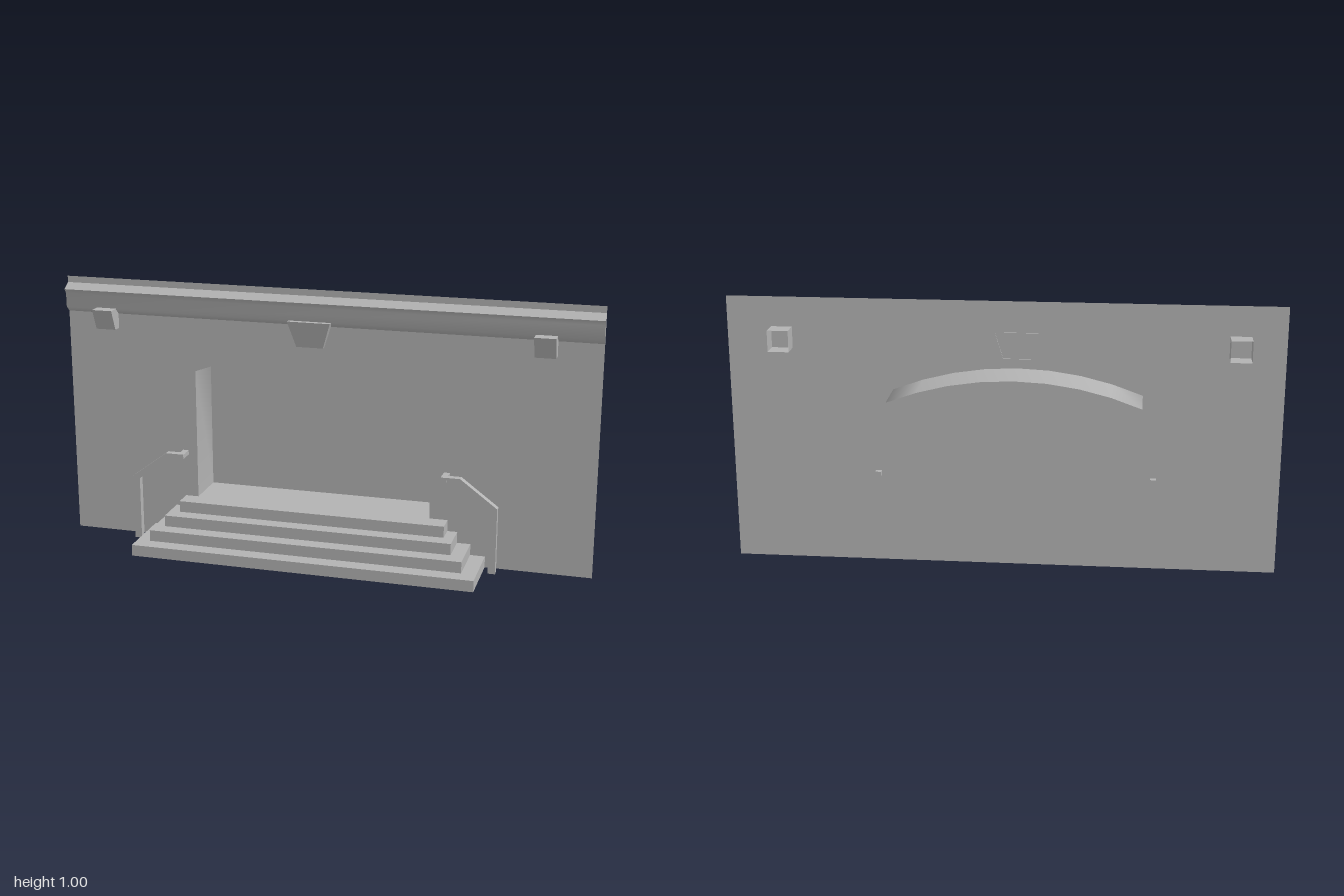
import * as THREE from 'three';

const WALL_Z = -0.035, BACK_Z = -0.205, CENTRE = -0.05;

export function createModel() {
  const group = new THREE.Group();
  const stone = new THREE.MeshStandardMaterial({ color: 0xb3b3b3, side: THREE.DoubleSide });
  stone.name = 'grey stone';

  const add = (name, geometry, x = 0, y = 0, z = 0) => {
    const mesh = new THREE.Mesh(geometry, stone);
    mesh.name = name;
    mesh.position.set(x, y, z);
    group.add(mesh);
    return mesh;
  };

  // Smooth ribbon joining two rows of points
  const ribbon = (a, b) => {
    const index = [];
    for (let i = 0; i < a.length - 1; i++) {
      const p = 2 * i;
      index.push(p, p + 1, p + 2, p + 1, p + 3, p + 2);
    }
    const g = new THREE.BufferGeometry().setFromPoints(a.flatMap((p, i) => [p, b[i]]));
    g.setIndex(index);
    g.computeVertexNormals();
    return g;
  };

  // Niche outline: straight jambs and a shallow arch
  const outline = [new THREE.Vector2(CENTRE + 0.45, 0.17)];
  const radius = 1.17, spread = Math.asin(0.45 / radius), steps = 8;
  for (let i = 0; i <= steps; i++) {
    const t = spread * (1 - (2 * i) / steps);
    outline.push(new THREE.Vector2(CENTRE + radius * Math.sin(t), 0.755 - radius * (1 - Math.cos(t))));
  }
  outline.push(new THREE.Vector2(CENTRE - 0.45, 0.17));

  // Thin wall with the niche opening
  const wall = new THREE.Shape([[-1, 0], [1, 0], [1, 1], [-1, 1]].map(p => new THREE.Vector2(...p)));
  wall.holes.push(new THREE.Path(outline));
  add('wall', new THREE.ShapeGeometry(wall), 0, 0, WALL_Z);

  // Niche lining, back and floor
  const at = z => outline.map(p => new THREE.Vector3(p.x, p.y, z));
  add('nicheLining', ribbon(at(BACK_Z), at(WALL_Z)));
  add('nicheBack', new THREE.ShapeGeometry(new THREE.Shape(outline)), 0, 0, BACK_Z);
  const depth = WALL_Z - BACK_Z;
  add('nicheFloor', new THREE.PlaneGeometry(0.9, depth).rotateX(-Math.PI / 2),
    CENTRE, 0.17, (WALL_Z + BACK_Z) / 2);

  // Four stacked steps: left, right, front
  const stairs = [[-0.68, 0.61, 0.205], [-0.63, 0.555, 0.147], [-0.59, 0.505, 0.091], [-0.55, 0.468, 0.036]];
  const rise = 0.17 / stairs.length;
  stairs.forEach(([l, r, front], i) => {
    add('step' + (i + 1), new THREE.BoxGeometry(r - l, rise, front - WALL_Z),
      (l + r) / 2, rise * (i + 0.5), (front + WALL_Z) / 2);
  });

  // Cornice: sloped top, underside moulding and end caps; points are [z, y]
  const profile = [[WALL_Z, 0.976], [-0.002, 0.955], [-0.013, 0.937], [-0.014, 0.886], [WALL_Z, 0.867]];
  const row = (points, x) => points.map(([z, y]) => new THREE.Vector3(x, y, z));
  const top = profile.slice(0, 2), under = profile.slice(1);
  add('corniceTop', ribbon(row(top, -1), row(top, 1)));
  add('corniceMoulding', ribbon(row(under, -1), row(under, 1)));
  const cap = new THREE.Shape(profile.map(([z, y]) => new THREE.Vector2(-z, y)));
  for (const x of [-1, 1]) {
    add('corniceEnd', new THREE.ShapeGeometry(cap).rotateY(Math.PI / 2), x);
  }

  // Hollow tapered block, open at the back
  const block = (topHalf, lowHalf, y0, y1, back, frontTop, frontLow) => {
    const g = new THREE.BoxGeometry(2, 2, 2);
    g.setIndex(Array.from(g.index.array).slice(0, 30));
    g.clearGroups();
    const p = g.attributes.position;
    for (let i = 0; i < p.count; i++) {
      const high = p.getY(i) > 0;
      p.setXYZ(i, p.getX(i) * (high ? topHalf : lowHalf), high ? y1 : y0,
        p.getZ(i) < 0 ? back : high ? frontTop : frontLow);
    }
    g.computeVertexNormals();
    return g;
  };
  add('keystone', block(0.08, 0.05, 0.79, 0.886, -0.039, 0.005, -0.013), CENTRE);
  add('leftCorbel', block(0.038, 0.038, 0.812, 0.89, -0.102, 0.033, 0), 0.802);
  add('rightCorbel', block(0.038, 0.038, 0.812, 0.89, -0.102, 0.033, 0), -0.838);

  // Bent handrails with a return bar into the wall
  const bend = [[-0.742, 0], [-0.715, 0], [-0.715, 0.242], [-0.598, 0.336], [-0.534, 0.336],
    [-0.534, 0.352], [-0.605, 0.352], [-0.742, 0.25]];
  const mirror = -0.0425;
  for (const side of [-1, 1]) {
    const mx = x => mirror - side * (x - mirror);
    const name = side < 0 ? 'right' : 'left';
    const shape = new THREE.Shape(bend.map(([x, y]) => new THREE.Vector2(mx(x), y)));
    add(name + 'Handrail', new THREE.ExtrudeGeometry(shape, { depth: 0.026, bevelEnabled: false }), 0, 0, -0.004);
    add(name + 'HandrailReturn', new THREE.BoxGeometry(0.022, 0.017, 0.077), mx(-0.546), 0.344, -0.0145);
  }

  return group;
}
